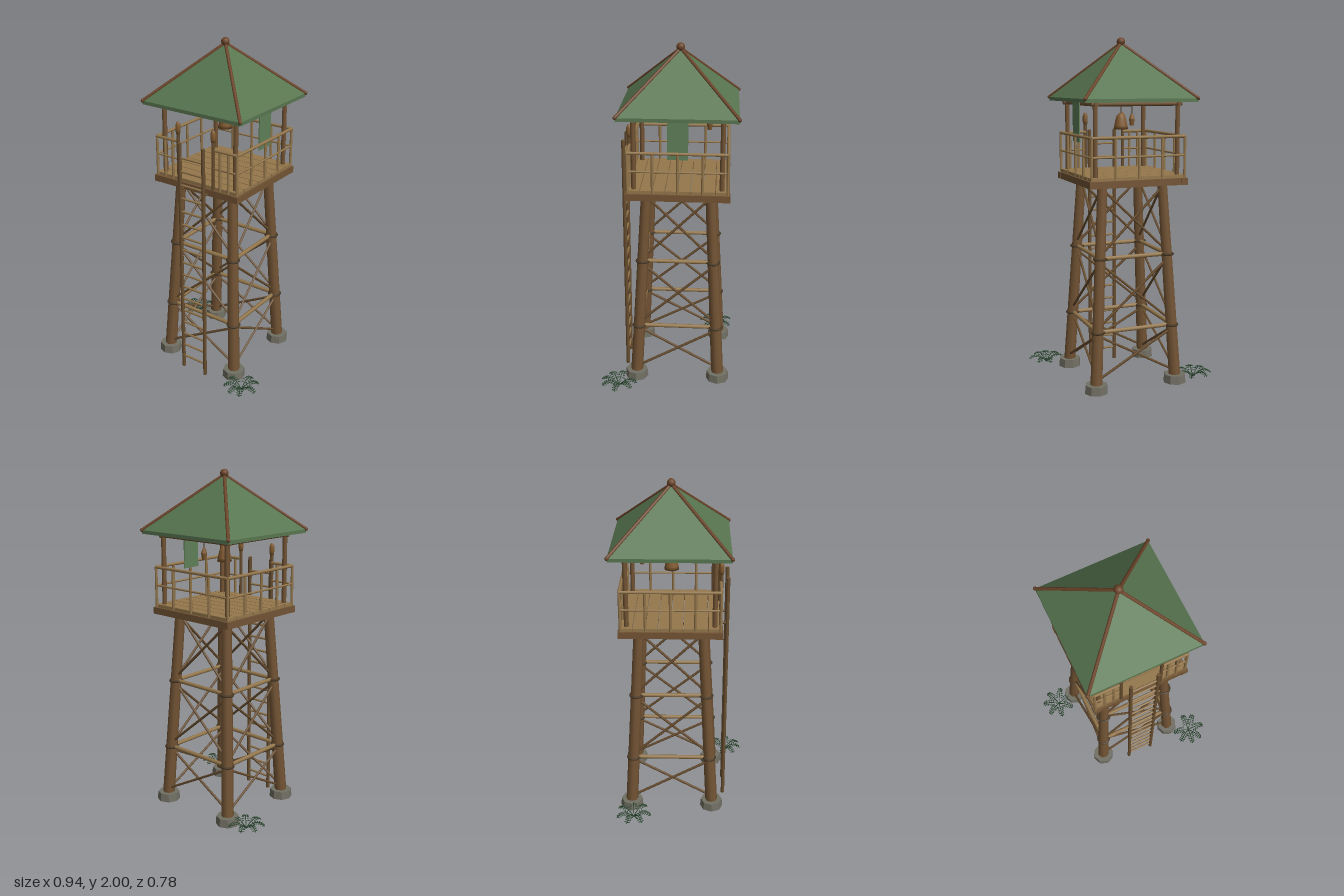
import * as THREE from 'three';

const mat = (name, color, extra = {}) => Object.assign(new THREE.MeshStandardMaterial({ color, ...extra }), { name });
const M = {
  timber: mat('timber brown', 0x735434),
  wood: mat('light wood', 0x94774c),
  pole: mat('pole brown', 0x6a4f30),
  rope: mat('dark rope', 0x4a3a26),
  ridge: mat('ridge brown', 0x6b4429),
  roof: mat('roof green', 0x587650),
  banner: mat('banner green', 0x5f8058, { side: THREE.DoubleSide }),
  stone: mat('footing stone', 0x716f63),
  bell: mat('bell bronze', 0x80592f),
  fern: mat('fern green', 0x2f4a33, { side: THREE.DoubleSide }),
};
const V = (x, y, z) => new THREE.Vector3(x, y, z);
const UP = V(0, 1, 0);

function add(parent, name, geo, material, x = 0, y = 0, z = 0) {
  const m = new THREE.Mesh(geo, material);
  m.name = name;
  m.position.set(x, y, z);
  parent.add(m);
  return m;
}
const box = (p, name, m, w, h, d, x, y, z) => add(p, name, new THREE.BoxGeometry(w, h, d), m, x, y, z);

// Round bar from a to b
function bar(p, name, m, a, b, r0, r1 = r0, sides = 8) {
  const mesh = add(p, name, new THREE.CylinderGeometry(r1, r0, a.distanceTo(b), sides), m);
  mesh.position.copy(a).lerp(b, 0.5);
  mesh.quaternion.setFromUnitVectors(UP, b.clone().sub(a).normalize());
  return mesh;
}

// Half spacing of the leaning legs at height y
const legAt = (y) => 0.246 - 0.055 * y;

// One side of the tower, drawn on its +z face
function towerSide() {
  const g = new THREE.Group();
  g.name = 'towerSide';
  for (const y of [0.365, 0.78]) {
    const s = legAt(y);
    bar(g, 'crossBeam', M.wood, V(-s - 0.025, y, s), V(s + 0.025, y, s), 0.012);
  }
  for (const [y0, y1] of [[0.09, 0.345], [0.39, 0.755], [0.8, 1.17]]) {
    for (const k of [-1, 1]) {
      const a = legAt(y0), b = legAt(y1);
      bar(g, 'brace', M.pole, V(-k * a, y0, a + k * 0.006), V(k * b, y1, b + k * 0.006), 0.0075, 0.0075, 6);
    }
  }
  box(g, 'platformRim', M.timber, 0.58, 0.038, 0.04, 0, 1.203, 0.268);
  bar(g, 'roofBeam', M.timber, V(-0.268, 1.634, 0.243), V(0.268, 1.634, 0.243), 0.012);
  return g;
}

// Railing between two x positions on the +z face
function railing(p, x0, x1, posts) {
  const z = 0.275;
  bar(p, 'topRail', M.wood, V(x0, 1.455, z), V(x1, 1.455, z), 0.009);
  bar(p, 'midRail', M.wood, V(x0, 1.35, z), V(x1, 1.35, z), 0.006);
  for (const x of posts) bar(p, 'baluster', M.wood, V(x, 1.225, z), V(x, 1.455, z), 0.008);
}

// Fern with arching fronds and small leaflets
function fern(x, z, angles) {
  const g = new THREE.Group();
  g.name = 'fern';
  g.position.set(x, 0, z);
  const curve = new THREE.QuadraticBezierCurve3(V(0, 0.028, 0), V(0.065, 0.1, 0), V(0.106, 0.052, 0));
  const stem = new THREE.TubeGeometry(curve, 8, 0.003, 5);
  const leaf = new THREE.SphereGeometry(1, 6, 4);
  for (const deg of angles) {
    const frond = new THREE.Group();
    frond.name = 'frond';
    frond.rotation.y = -deg * Math.PI / 180;
    add(frond, 'stem', stem, M.fern);
    for (let i = 0; i < 6; i++) {
      const c = curve.getPoint(0.28 + i * 0.125);
      for (const s of [-1, 1]) {
        const l = add(frond, 'leaflet', leaf, M.fern, c.x, c.y - 0.002, s * (0.017 - i * 0.0015));
        l.scale.set(0.0045, 0.002, 0.009);
        l.rotation.y = -s * 0.4;
      }
    }
    g.add(frond);
  }
  return g;
}

export function createModel() {
  const root = new THREE.Group();
  root.name = 'watchtower';
  const t = new THREE.Group();
  t.name = 'tower';
  t.position.z = -0.054;
  root.add(t);

  // Corners: footing, leaning leg, lashings, roof post, hip pole
  for (const sx of [-1, 1]) for (const sz of [-1, 1]) {
    const at = (y) => V(sx * legAt(y), y, sz * legAt(y));
    const f = add(t, 'footing', new THREE.CylinderGeometry(0.064, 0.068, 0.048, 8), M.stone, sx * 0.243, 0.047, sz * 0.243);
    f.material.flatShading = true;
    bar(t, 'leg', M.timber, at(0.06), at(1.2), 0.036, 0.029, 8);
    for (const y of [0.365, 0.78]) {
      const ring = add(t, 'lashing', new THREE.TorusGeometry(0.035, 0.007, 6, 14), M.rope);
      ring.position.copy(at(y));
      ring.rotation.x = Math.PI / 2;
    }
    bar(t, 'roofPost', M.timber, V(sx * 0.243, 1.22, sz * 0.243), V(sx * 0.243, 1.65, sz * 0.243), 0.0135);
    bar(t, 'hipPole', M.ridge, V(sx * 0.327, 1.665, sz * 0.327), V(0, 1.968, 0), 0.0095);
    add(t, 'hipEnd', new THREE.SphereGeometry(0.011, 8, 6), M.ridge, sx * 0.327, 1.665, sz * 0.327);
  }

  // Four sides and their railings; the front leaves a gap for the ladder
  for (let i = 0; i < 4; i++) {
    const side = towerSide();
    side.rotation.y = i * Math.PI / 2;
    if (i > 0) railing(side, -0.275, 0.275, [-0.275, -0.1375, 0, 0.1375]);
    t.add(side);
  }
  for (const s of [-1, 1]) {
    railing(t, s * 0.275, s * 0.12, [s * 0.275, s * 0.218, s * 0.163]);
    // Gate post with a carved head
    bar(t, 'gatePost', M.pole, V(s * 0.12, 1.225, 0.278), V(s * 0.12, 1.51, 0.278), 0.01);
    const profile = [[0, 1.5], [0.011, 1.5], [0.015, 1.52], [0.015, 1.55], [0.009, 1.565], [0, 1.572]];
    add(t, 'gatePostHead', new THREE.LatheGeometry(profile.map(([r, y]) => new THREE.Vector2(r, y)), 10), M.bell, s * 0.12, 0, 0.278);
  }

  // Deck planks
  for (let i = 0; i < 8; i++) box(t, 'deckPlank', M.wood, 0.555, 0.02, 0.065, 0, 1.23, (i - 3.5) * 0.0695);

  // Ladder
  const ladder = new THREE.Group();
  ladder.name = 'ladder';
  ladder.position.z = 0.263;
  root.add(ladder);
  for (const s of [-1, 1]) {
    bar(ladder, 'ladderRail', M.pole, V(s * 0.081, 0, 0), V(s * 0.081, 1.465, 0), 0.011);
    bar(ladder, 'ladderBracket', M.pole, V(s * 0.081, 1.19, 0), V(s * 0.081, 1.19, -0.04), 0.007);
  }
  for (let i = 0; i < 17; i++) {
    const y = 0.077 + i * 0.0815;
    bar(ladder, 'rung', M.wood, V(-0.085, y, 0), V(0.085, y, 0), 0.0065, 0.0065, 6);
  }

  // Roof: square eave slab and pyramid
  box(t, 'eave', M.roof, 0.655, 0.02, 0.655, 0, 1.654, 0);
  const pyramid = new THREE.ConeGeometry(0.655 / Math.SQRT2, 0.306, 4, 1).toNonIndexed();
  pyramid.rotateY(Math.PI / 4);
  pyramid.computeVertexNormals();
  add(t, 'roof', pyramid, M.roof, 0, 1.817, 0);
  add(t, 'finial', new THREE.SphereGeometry(0.024, 14, 10), M.ridge, 0, 1.976, 0);

  // Bell, hung at the centre
  const bellProfile = [[0, 1.485], [0.042, 1.485], [0.038, 1.505], [0.031, 1.54], [0.022, 1.565], [0.01, 1.575], [0, 1.576]];
  add(t, 'bell', new THREE.LatheGeometry(bellProfile.map(([r, y]) => new THREE.Vector2(r, y)), 16), M.bell);
  bar(t, 'bellRope', M.rope, V(0, 1.57, 0), V(0, 1.65, 0), 0.003);

  // Small lantern towards the back
  bar(t, 'lantern', M.bell, V(0, 1.513, -0.166), V(0, 1.55, -0.166), 0.012, 0.017);
  bar(t, 'lanternCap', M.bell, V(0, 1.55, -0.166), V(0, 1.58, -0.166), 0.017, 0.006);
  bar(t, 'lanternRope', M.rope, V(0, 1.575, -0.166), V(0, 1.65, -0.166), 0.003);

  // Hanging banner on the left side
  box(t, 'banner', M.banner, 0.006, 0.228, 0.114, 0.268, 1.534, 0);

  root.add(fern(0.365, 0.285, [-87, -48, 8, 63, 101, 146, 190]));
  root.add(fern(-0.37, -0.28, [-115, -161, 149, 100, 45, -5, -60]));
  return root;
}
